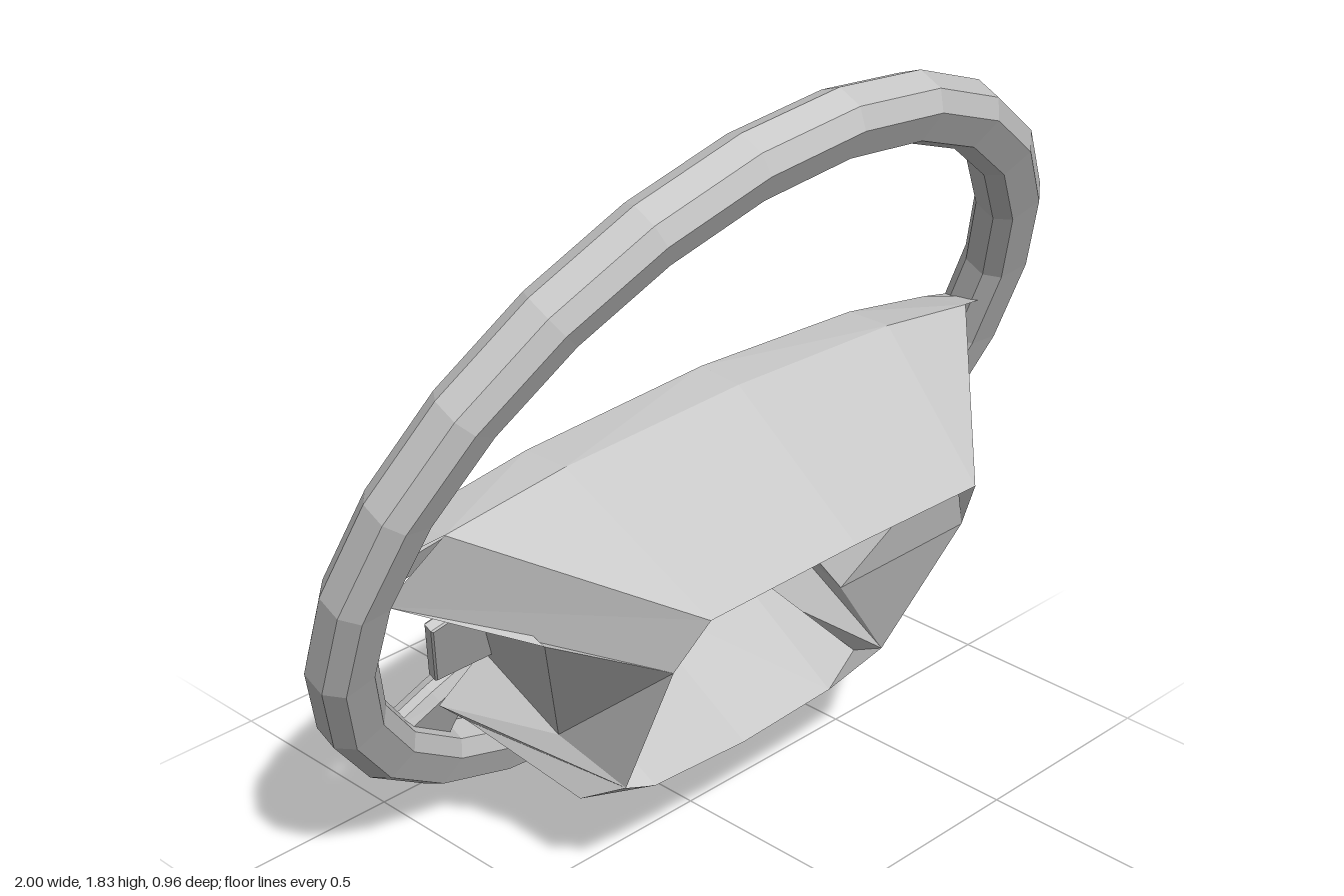
import * as THREE from 'three';

const grey = new THREE.MeshStandardMaterial({ color: 0xc8c8c8 });
grey.name = 'grey plastic';
grey.flatShading = true;
grey.side = THREE.DoubleSide;

function part(name, geometry) {
  const mesh = new THREE.Mesh(geometry, grey);
  mesh.name = name;
  return mesh;
}

// Mirrored faceted skin between two rows of points
function skin(name, rowA, rowB) {
  const positions = [];
  for (const s of [1, -1]) {
    for (let i = 0; i < rowA.length - 1; i++) {
      const [a, b, c, d] = [rowA[i], rowA[i + 1], rowB[i + 1], rowB[i]]
        .map(([x, y, z]) => [x * s, y, z]);
      const order = s > 0 ? [a, b, c, a, c, d] : [a, c, b, a, d, c];
      order.forEach((p) => positions.push(...p));
    }
  }
  const geometry = new THREE.BufferGeometry();
  geometry.setAttribute('position', new THREE.Float32BufferAttribute(positions, 3));
  geometry.computeVertexNormals();
  return part(name, geometry);
}

// Bevelled slab from an outline, spanning z0 to z1
function slab(name, shape, z0, z1, bevel) {
  const geometry = new THREE.ExtrudeGeometry(shape, {
    depth: z1 - z0 - 2 * bevel, bevelThickness: bevel, bevelSize: bevel,
    bevelOffset: -bevel, bevelSegments: 1,
  });
  geometry.translate(0, 0, z0 + bevel);
  return part(name, geometry);
}

const toPoints = (list) => list.map(([x, y]) => new THREE.Vector2(x, y));

export function createModel() {
  const root = new THREE.Group();
  root.name = 'steeringWheel';

  // Everything is built in the wheel plane (+z towards the column), then tilted
  const wheel = new THREE.Group();
  wheel.name = 'tiltedWheel';
  wheel.position.y = 0.91;
  wheel.rotation.x = 0.447;
  root.add(wheel);

  // Rim: eight-sided section, 24 segments
  const section = [[1, -0.03], [1, 0.03], [0.965, 0.065], [0.89, 0.06], [0.86, 0.028],
    [0.86, -0.028], [0.89, -0.06], [0.965, -0.065], [1, -0.03]];
  const rim = new THREE.LatheGeometry(toPoints(section), 24);
  rim.rotateX(Math.PI / 2);
  wheel.add(part('rim', rim));

  // Driver-side plate with four spokes and a round recess
  const half = [[0, 0.205], [0.49, 0.17], [0.79, 0.1], [0.91, 0.07], [0.92, -0.07],
    [0.86, -0.06], [0.8, -0.02], [0.58, -0.02], [0.52, -0.07], [0.415, -0.42], [0.44, -0.47],
    [0.55, -0.55], [0.64, -0.63], [0.45, -0.81], [0.43, -0.68], [0.36, -0.52], [0, -0.52]];
  const mirrorHalf = half.slice(1, -1).reverse().map(([x, y]) => [-x, y]);
  const outline = new THREE.Shape(toPoints([...half, ...mirrorHalf]));
  const ring = Array.from({ length: 12 }, (_, i) => {
    const a = (i / 12) * Math.PI * 2;
    return [0.15 * Math.cos(a), -0.075 + 0.15 * Math.sin(a)];
  });
  outline.holes.push(new THREE.Path(toPoints(ring)));
  wheel.add(slab('spokePlate', outline, -0.055, 0.01, 0.022));

  // Disc set into the recess
  const disc = new THREE.CylinderGeometry(0.155, 0.155, 0.045, 12);
  disc.rotateX(Math.PI / 2);
  disc.translate(0, -0.075, -0.008);
  wheel.add(part('centreDisc', disc));

  // Shroud behind the plate: roof, flared sides and floor, open to the column
  const rearTop = [[0, 0.154, 0.46], [0.41, 0.127, 0.452]];
  const roofEdge = [[0, 0.236, 0.045], [0.49, 0.212, 0.045], [0.79, 0.157, 0.045]];
  const wingTop = roofEdge[2];
  const crease = [[0, 0.195, -0.058], [0.49, 0.16, -0.058], [0.79, 0.09, -0.058], [0.9, 0.06, -0.055]];
  wheel.add(skin('topLip', crease.map(([x, y, z]) => [x, y - 0.03, z]), crease));
  wheel.add(skin('topBevel', crease, [...roofEdge, [0.9, 0.13, 0.035]]));
  wheel.add(skin('shroudRoof', roofEdge, [rearTop[0], rearTop[1], rearTop[1]]));

  const sideTop = [[0.45, -0.02, 0.45], [0.65, -0.02, 0.27], [0.66, -0.04, 0.01]];
  const sideBottom = [[0.41, -0.44, 0.447], [0.45, -0.44, 0.265], [0.46, -0.43, 0.01]];
  const wingLow = [0.86, -0.05, 0.02];
  wheel.add(skin('upperWing', [rearTop[1], wingTop], [sideTop[0], wingLow]));
  wheel.add(skin('wingUnderside', sideTop, [wingLow, wingLow, wingLow]));
  wheel.add(skin('shroudSide', sideTop, sideBottom));
  wheel.add(skin('podFront',
    [[0.5, -0.04, 0.01], [0.41, -0.43, 0.01]], [sideTop[2], sideBottom[2]]));

  // Floor, its chamfered corners and the ledges above the lower spokes
  const spokeLow = [0.55, -0.56, 0.02];
  const corner = [0.44, -0.545, 0.375];
  const floorRear = [[0, -0.54, 0.445], [0.28, -0.525, 0.44], corner, sideBottom[0]];
  wheel.add(skin('shroudFloor',
    [[0, -0.5, 0], [0.3, -0.49, 0], [0.44, -0.67, 0.03], spokeLow], floorRear));
  wheel.add(skin('floorCorner', [floorRear[1], sideBottom[0]], [corner, corner]));
  wheel.add(skin('lowerLedge', sideBottom, [spokeLow, spokeLow, spokeLow]));

  // Small paddle in the right-hand opening only
  const paddle = new THREE.Shape(toPoints([[-0.71, -0.19], [-0.63, -0.4], [-0.46, -0.4], [-0.56, -0.17], [-0.65, -0.17]]));
  wheel.add(slab('paddle', paddle, 0.016, 0.045, 0.004));

  return root;
}
